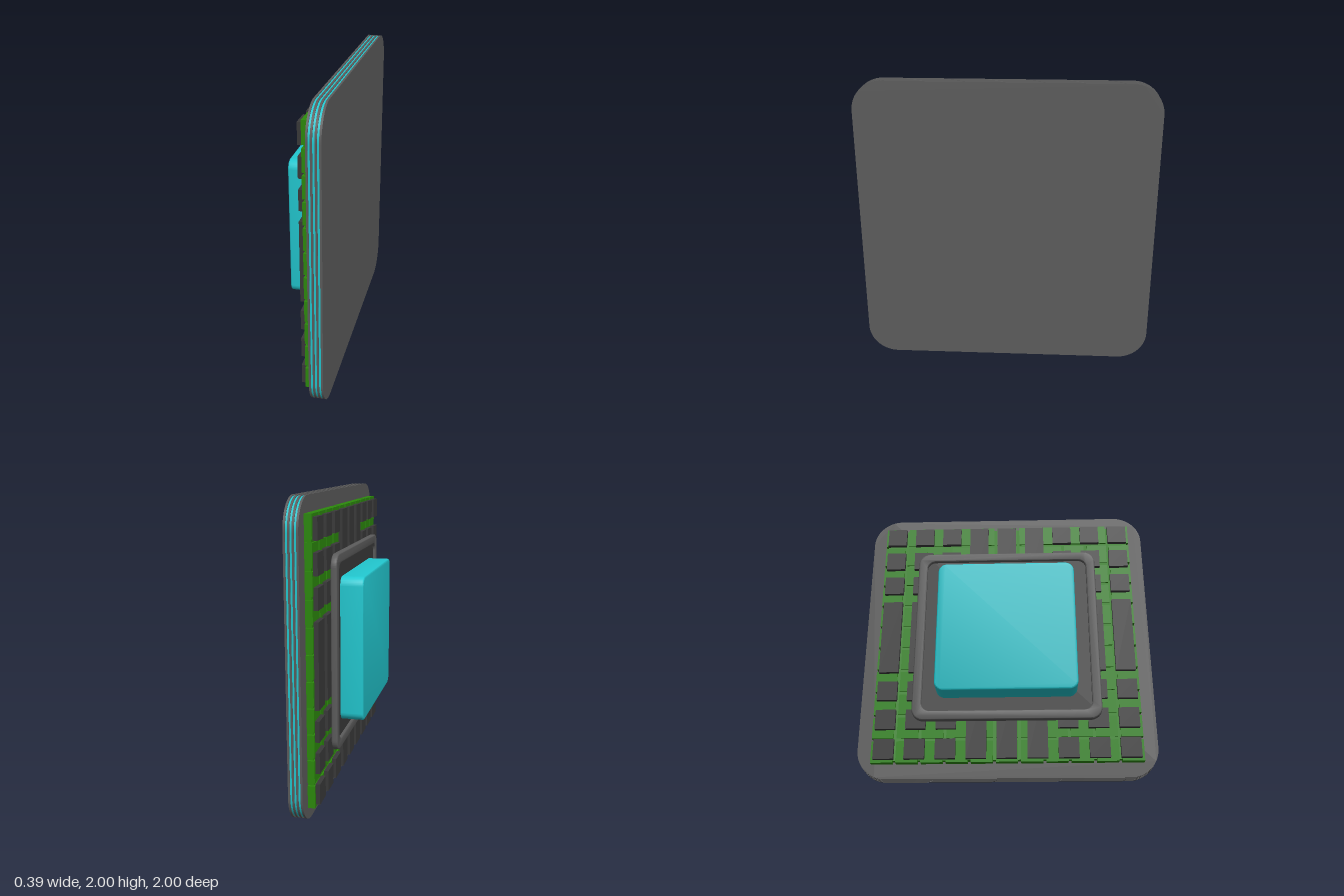
import * as THREE from 'three';
import { toCreasedNormals } from 'three/addons/utils/BufferGeometryUtils.js';

const mat = (color) => new THREE.MeshStandardMaterial({ color });
const grey = mat(0x5c5c5c), dark = mat(0x3a3a3a), cyan = mat(0x22c8d0), green = mat(0x2c8a0c);

// Rounded square outline
function roundedRect(target, w, h, r) {
  const x = w / 2, y = h / 2;
  target.moveTo(-x + r, -y);
  target.lineTo(x - r, -y);
  target.absarc(x - r, -y + r, r, -Math.PI / 2, 0);
  target.lineTo(x, y - r);
  target.absarc(x - r, y - r, r, 0, Math.PI / 2);
  target.lineTo(-x + r, y);
  target.absarc(-x + r, y - r, r, Math.PI / 2, Math.PI);
  target.lineTo(-x, -y + r);
  target.absarc(-x + r, -y + r, r, Math.PI, Math.PI * 1.5);
  return target;
}

// Rounded square slab standing upright between x0 and x1, with an optional square opening
function slab(name, size, r, x0, x1, material, bevel = 0, hole = 0) {
  const shape = roundedRect(new THREE.Shape(), size - 2 * bevel, size - 2 * bevel, r - bevel);
  if (hole) shape.holes.push(roundedRect(new THREE.Path(), hole + 2 * bevel, hole + 2 * bevel, r * 0.7 + bevel));
  const geo = new THREE.ExtrudeGeometry(shape, {
    depth: x1 - x0 - 2 * bevel, bevelEnabled: bevel > 0, bevelSize: bevel,
    bevelThickness: bevel, bevelSegments: 3, curveSegments: 10,
  });
  geo.translate(0, 0, x0 + bevel).rotateY(Math.PI / 2);
  const mesh = new THREE.Mesh(toCreasedNormals(geo, 0.6), material);
  mesh.name = name;
  return mesh;
}

function block(name, x0, x1, h, d, y, z, material) {
  const mesh = new THREE.Mesh(new THREE.BoxGeometry(x1 - x0, h, d), material);
  mesh.position.set((x0 + x1) / 2, y, z);
  mesh.name = name;
  return mesh;
}

export function createModel() {
  const root = new THREE.Group();
  root.name = 'layeredPanel';
  const body = new THREE.Group();
  body.name = 'tiltedBody';
  body.position.y = 1;
  body.rotation.y = 0.025;
  root.add(body);

  // Backing: grey sheets with thin cyan sheets between them
  const t = 0.092 / 7;
  for (let i = 0; i < 7; i++) {
    const x0 = 0.073 + i * t;
    body.add(i % 2
      ? slab('cyanLayer', 1.99, 0.197, x0, x0 + t, cyan)
      : slab('greyLayer', 2, 0.2, x0, x0 + t, grey));
  }

  // Green tile grid on a thin bed
  const bed = new THREE.Group();
  bed.name = 'greenTileGrid';
  bed.add(block('greenBed', 0.034, 0.073, 1.77, 1.77, 0, 0, green));
  for (let i = -5; i <= 5; i++)
    for (let j = -5; j <= 5; j++)
      bed.add(block('greenTile', 0.024, 0.07, 0.145, 0.145, i * 0.1655, j * 0.1655, green));
  body.add(bed);

  // Dark tiles: nine columns, some tiles three cells long
  const darkTiles = new THREE.Group();
  darkTiles.name = 'darkTiles';
  const pitch = 0.2035, cell = 0.135;
  for (let c = -4; c <= 4; c++) {
    const spans = Math.abs(c) <= 1 ? [3, 3, 3] : [1, 1, 1, 3, 1, 1, 1];
    let row = -4;
    for (const n of spans) {
      const y = (row + (n - 1) / 2) * pitch;
      darkTiles.add(block('darkTile', -0.004, 0.025, cell + (n - 1) * pitch, cell, y, c * pitch, dark));
      row += n;
    }
  }
  body.add(darkTiles);

  // Tray with raised rim around the central block
  body.add(slab('trayFloor', 1.24, 0.07, -0.036, -0.016, dark));
  body.add(slab('trayRim', 1.27, 0.08, -0.054, -0.014, grey, 0.008, 1.14));

  // Central block
  body.add(slab('centralBlock', 0.95, 0.06, -0.185, 0.024, cyan, 0.01));
  return root;
}
